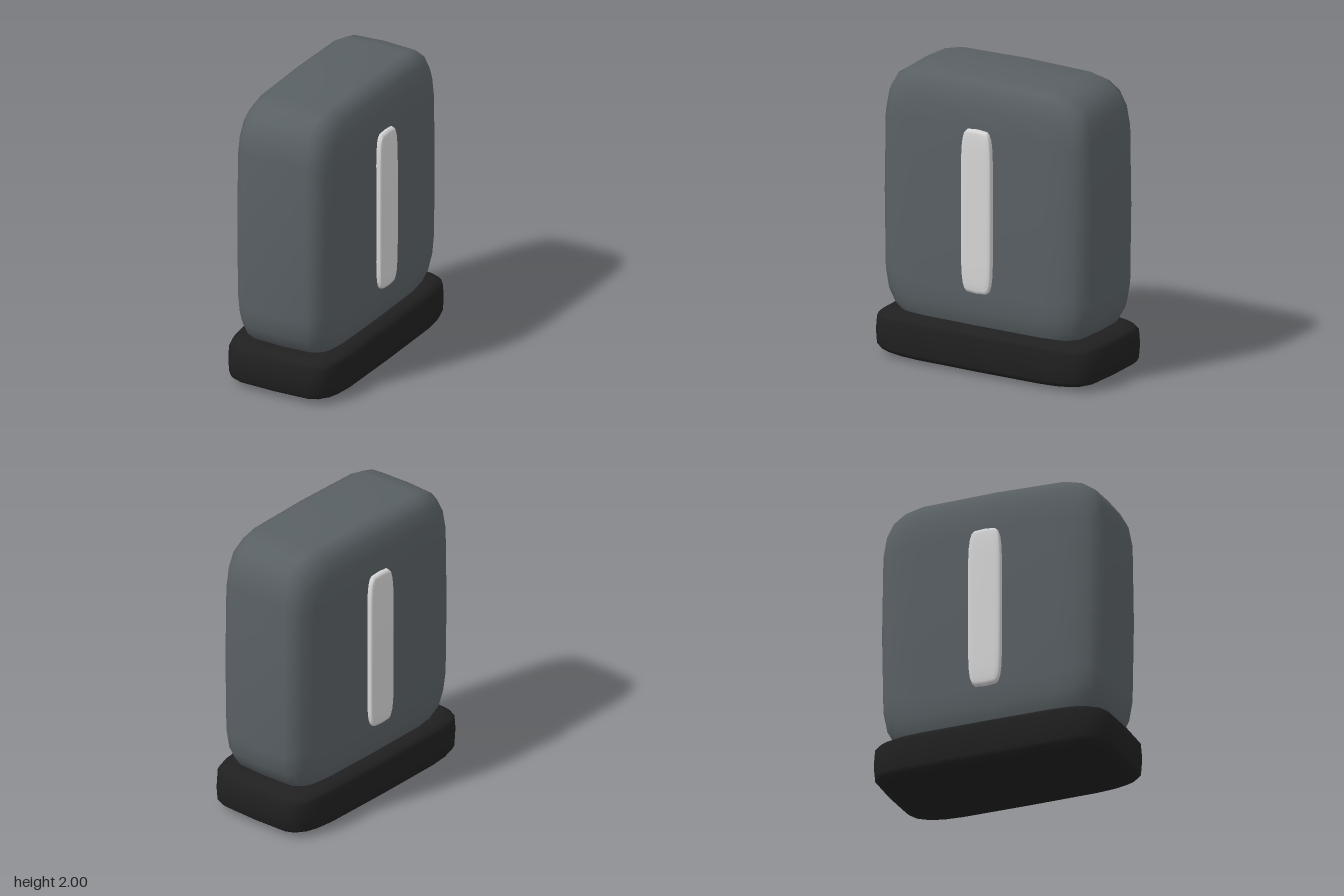
import * as THREE from 'three';
import { mergeVertices } from 'three/addons/utils/BufferGeometryUtils.js';

const POWER = 5.8; // squareness of the rounded blocks
const STEPS = [0, 0.63, 0.817, 1]; // grid lines gathered towards the edges

// Soft-cornered block: a box grid projected onto a superellipsoid, then scaled
function softBlock(halfX, halfY, halfZ) {
  let geo = new THREE.BoxGeometry(2, 2, 2, 6, 6, 6);
  geo.deleteAttribute('uv');
  geo.deleteAttribute('normal');
  geo = mergeVertices(geo, 1e-4);
  const pos = geo.attributes.position;
  const place = (u) => Math.sign(u) * STEPS[Math.round(Math.abs(u) * 3)];
  for (let i = 0; i < pos.count; i++) {
    const p = [pos.getX(i), pos.getY(i), pos.getZ(i)].map(place);
    const sum = p.reduce((s, c) => s + Math.abs(c) ** POWER, 0);
    const k = sum ** (-1 / POWER);
    pos.setXYZ(i, p[0] * k * halfX, p[1] * k * halfY, p[2] * k * halfZ);
  }
  geo.computeVertexNormals();
  return geo;
}

export function createModel() {
  const group = new THREE.Group();
  const material = (name, color) => {
    const m = new THREE.MeshStandardMaterial({ color });
    m.name = name;
    return m;
  };
  const slate = material('slate grey', 0x596064);
  const black = material('soft black', 0x202020);
  const pale = material('pale grey', 0xd6d6d6);

  const add = (name, half, x, y, mat) => {
    const mesh = new THREE.Mesh(softBlock(...half), mat);
    mesh.name = name;
    mesh.position.set(x, y, 0);
    group.add(mesh);
  };

  // Tall rounded body sunk into a wider base
  add('body', [0.37, 0.89, 0.797], 0, 1.11, slate);
  add('base', [0.42, 0.16, 0.842], 0, 0.16, black);

  // Upright strip on each broad side
  for (const side of [-1, 1]) {
    add(side > 0 ? 'leftStrip' : 'rightStrip', [0.032, 0.56, 0.115], side * 0.374, 1.11, pale);
  }
  return group;
}
